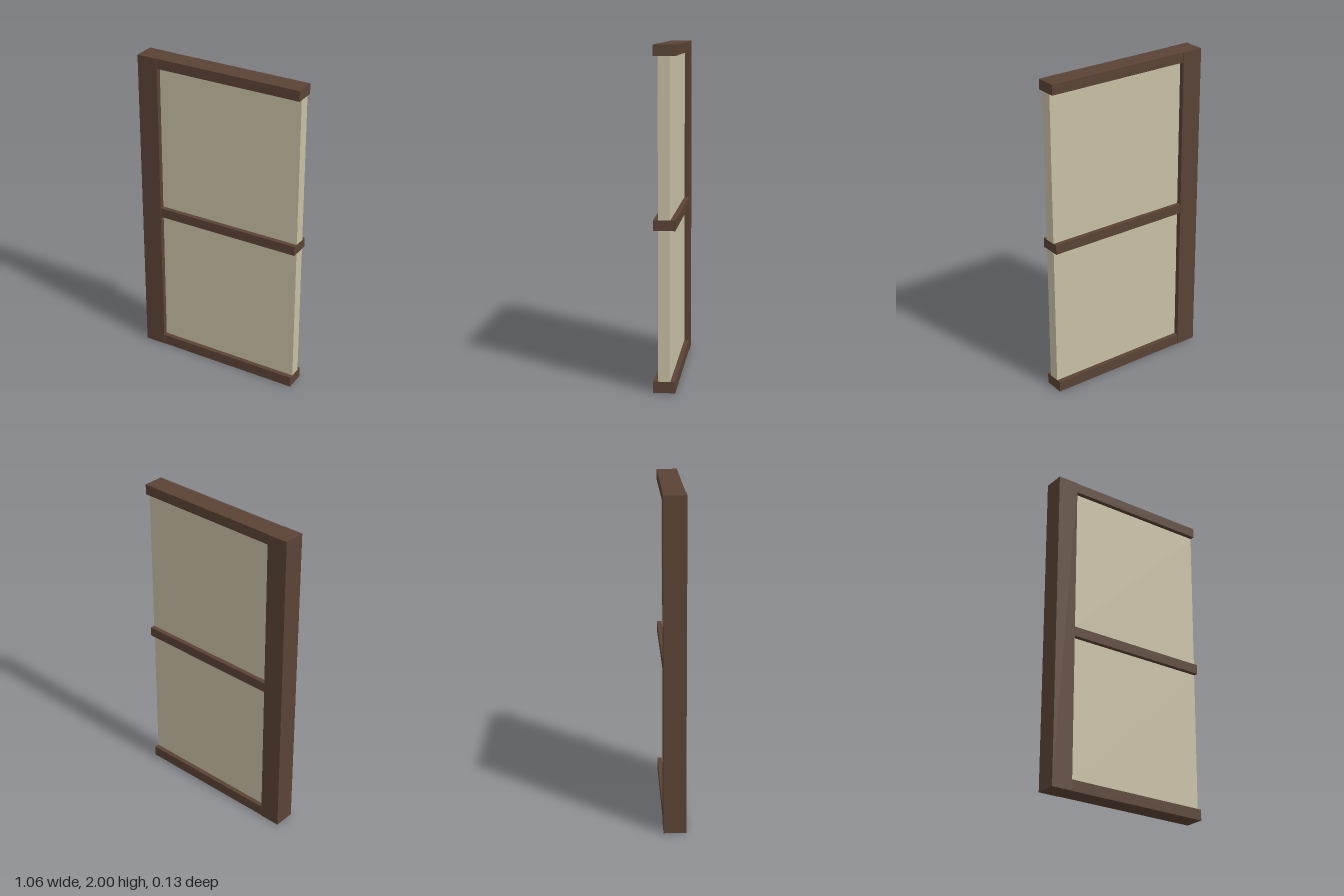
import * as THREE from 'three';

export function createModel() {
  const model = new THREE.Group();
  model.name = 'wallPanel';

  const wood = new THREE.MeshStandardMaterial({ color: 0x5a4335 });
  wood.name = 'dark brown wood';
  const plaster = new THREE.MeshStandardMaterial({ color: 0xc8c0a5 });
  plaster.name = 'beige plaster';

  // Box given by its x and y limits and its depth, centred on z = 0
  const addBox = (name, x0, x1, y0, y1, depth, material) => {
    const mesh = new THREE.Mesh(new THREE.BoxGeometry(x1 - x0, y1 - y0, depth), material);
    mesh.position.set((x0 + x1) / 2, (y0 + y1) / 2, 0);
    mesh.name = name;
    model.add(mesh);
  };

  const left = 0.532, right = -0.532, postEdge = -0.4;

  // Full-height post on one side, slightly deeper than the beams
  addBox('post', right, postEdge, 0, 2, 0.134, wood);

  // Horizontal beams: bottom, middle, top
  const beams = [
    ['bottomBeam', 0, 0.067],
    ['middleBeam', 0.952, 1.012],
    ['topBeam', 1.937, 2],
  ];
  for (const [name, y0, y1] of beams) addBox(name, postEdge, left, y0, y1, 0.128, wood);

  // Recessed infill between neighbouring beams
  addBox('lowerInfill', postEdge, left - 0.001, beams[0][2], beams[1][1], 0.07, plaster);
  addBox('upperInfill', postEdge, left - 0.001, beams[1][2], beams[2][1], 0.07, plaster);

  return model;
}
